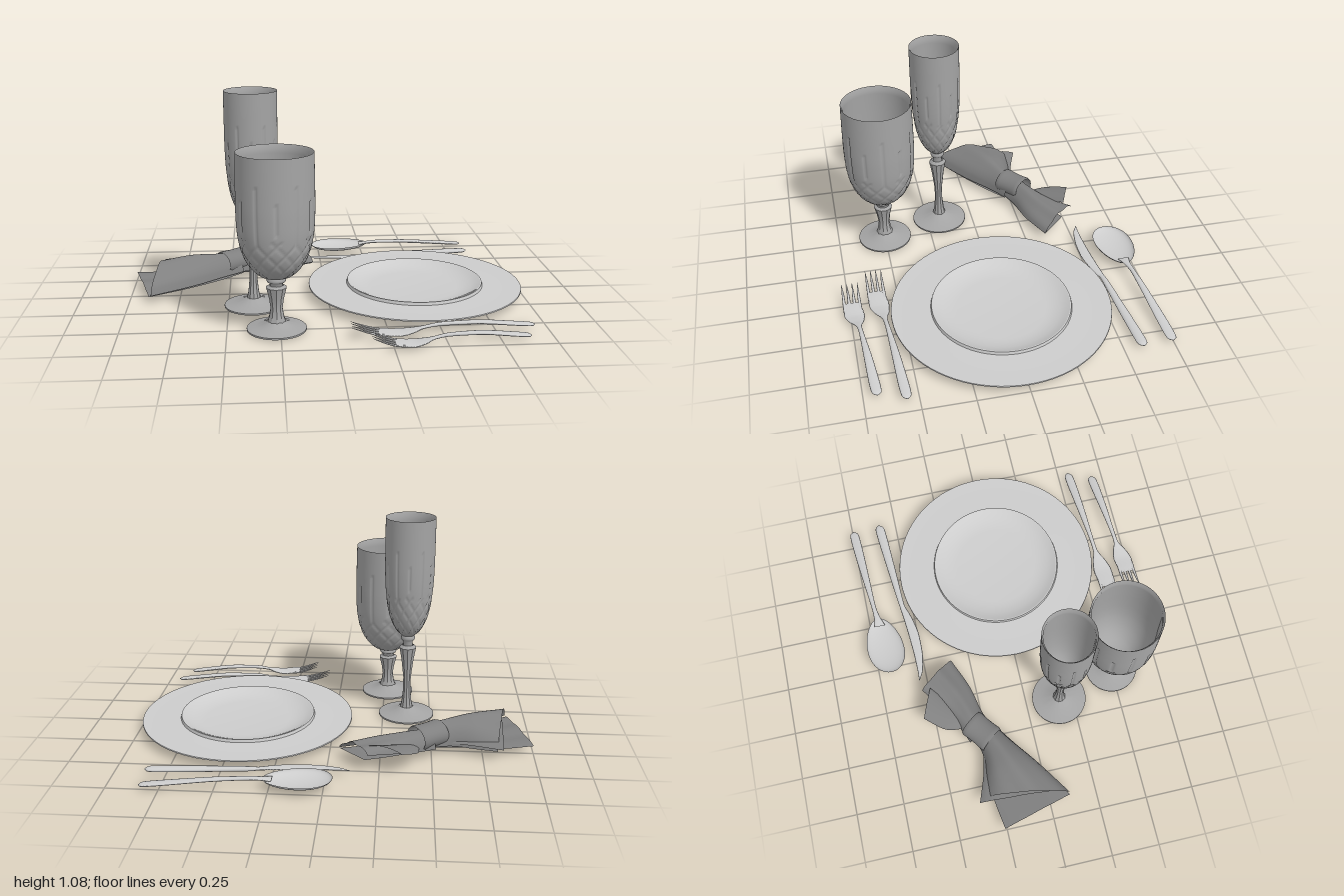
import * as THREE from 'three';
import { mergeVertices, toCreasedNormals } from 'three/addons/utils/BufferGeometryUtils.js';

const mat = (name, color, side = THREE.FrontSide) => {
  const m = new THREE.MeshStandardMaterial({ color, side });
  m.name = name;
  return m;
};
const china = mat('china and cutlery', 0xcccccc, THREE.DoubleSide);
const glass = mat('cut glass', 0xa4a4a4, THREE.DoubleSide);
const cloth = mat('napkin cloth', 0x808080, THREE.DoubleSide);

function add(parent, name, geometry, material) {
  const m = new THREE.Mesh(geometry, material);
  m.name = name;
  parent.add(m);
  return m;
}

function group(parent, name, x = 0, z = 0) {
  const g = new THREE.Group();
  g.name = name;
  g.position.set(x, 0, z);
  parent.add(g);
  return g;
}

// Smooth surface from a rule f(u, v) -> [x, y, z]
function surface(f, nu, nv) {
  const pos = [], idx = [];
  for (let i = 0; i <= nu; i++) for (let j = 0; j <= nv; j++) pos.push(...f(i / nu, j / nv));
  for (let i = 0; i < nu; i++) for (let j = 0; j < nv; j++) {
    const a = i * (nv + 1) + j, b = a + nv + 1;
    idx.push(a, b, a + 1, b, b + 1, a + 1);
  }
  let g = new THREE.BufferGeometry();
  g.setAttribute('position', new THREE.Float32BufferAttribute(pos, 3));
  g.setIndex(idx);
  g = mergeVertices(g, 1e-5);
  g.computeVertexNormals();
  return g;
}

const spline = pts => new THREE.CatmullRomCurve3(pts.map(p => new THREE.Vector3(...p)), false, 'centripetal');
const uniform = pts => new THREE.CatmullRomCurve3(pts.map(p => new THREE.Vector3(...p)), false, 'catmullrom', 0.4);

// Oval bar through stations [x, y, z, halfWidth, halfThickness]
function bar(stations, steps = 32, sides = 14) {
  const mid = uniform(stations.map(s => s.slice(0, 3)));
  const size = uniform(stations.map(s => [s[3], s[4], 0]));
  return surface((u, v) => {
    const c = mid.getPoint(u), s = size.getPoint(u), a = v * Math.PI * 2;
    return [c.x, c.y + Math.max(s.y, 0.0005) * Math.sin(a), c.z + Math.max(s.x, 0.0005) * Math.cos(a)];
  }, steps, sides);
}

const lathe = (pts, n) => new THREE.LatheGeometry(pts.map(p => new THREE.Vector2(...p)), n);

// Goblet: foot, faceted stem, knob and a bowl with cut diamonds and slits
function goblet(parent, name, x, z, o) {
  const g = group(parent, name, x, z);
  add(g, 'foot', toCreasedNormals(lathe([[0, 0.006], [o.foot, 0.006], [o.foot, 0.014],
    [o.foot * 0.7, 0.022], [o.foot * 0.4, 0.036], [o.stem[0][0] * 0.8, 0.052]], 48), 0.6), glass);
  add(g, 'stem', toCreasedNormals(lathe(o.stem, 10), 0.3), glass);
  add(g, 'knob', lathe(o.knob, 32), glass);

  const outer = spline(o.bowl.map(p => [p[0], p[1], 0]));
  const [y0, y1, y2] = o.cut;
  const bowl = surface((u, v) => {
    const p = outer.getPointAt(u), a = v * Math.PI * 2;
    const k = v * 12, q = (p.y - y0) / o.diamond;
    const even = Math.round(k) % 2;
    let d = 0;
    const top = y1 + (even ? 0.04 : 0) * (1 - Math.abs(Math.sin(Math.PI * k)));
    if (p.y > y0 && p.y < top) {
      const m = Math.min(Math.abs(Math.sin(Math.PI * (k + q))), Math.abs(Math.sin(Math.PI * (k - q))));
      d = Math.max(0, 1 - m / 0.45);
    } else if (p.y >= top && p.y < y2 - (even ? 0.07 : 0)) {
      d = Math.max(0, 1 - Math.abs(Math.sin(Math.PI * k)) / 0.3) * 1.2;
    }
    const r = p.x - d * 0.005;
    return [r * Math.cos(a), p.y, r * Math.sin(a)];
  }, 72, 144);
  add(g, 'bowl', bowl, glass);
  const inner = outer.getSpacedPoints(30).reverse().map((p, i) =>
    [Math.max(p.x - (i ? 0.009 : 0), 0), p.y + (i ? 0.009 * i / 30 : 0)]);
  inner.push([0, o.bowl[0][1] + 0.009]);
  add(g, 'bowlInside', lathe(inner, 48), glass);
}

// Fork pointing to -x, origin below the tine tips
function fork(parent, name, x, z, scale) {
  const g = group(parent, name, x, z);
  g.scale.set(scale, 1, 0.95);
  add(g, 'headAndHandle', bar([[0.125, 0.02, 0, 0.042, 0.003], [0.16, 0.017, 0, 0.048, 0.005],
    [0.23, 0.013, -0.005, 0.052, 0.006], [0.29, 0.02, -0.012, 0.036, 0.006], [0.34, 0.031, -0.018, 0.014, 0.007],
    [0.42, 0.042, -0.024, 0.012, 0.009], [0.6, 0.043, -0.036, 0.02, 0.009], [0.78, 0.026, -0.047, 0.026, 0.008],
    [0.85, 0.019, -0.052, 0.023, 0.007], [0.87, 0.017, -0.053, 0.002, 0.002]], 48), china);
  for (let i = 0; i < 4; i++) {
    const s = (i - 1.5) * 0.027;
    add(g, 'tine', bar([[0, 0.058, s * 1.05, 0.001, 0.001], [0.06, 0.037, s, 0.006, 0.004],
      [0.12, 0.021, s, 0.008, 0.004], [0.18, 0.016, s, 0.009, 0.004]], 14, 8), china);
  }
}

// Cloth arching between two edge lines, with height h along the way
function drape(a, b, h, ripple = 0) {
  const ca = spline(a), cb = spline(b), ch = uniform(h.map(y => [y, 0, 0]));
  return surface((u, v) => {
    const p = ca.getPoint(u).lerp(cb.getPoint(u), v), s = Math.max(Math.sin(Math.PI * v), 0);
    const y = p.y + ch.getPoint(u).x * Math.pow(s, 0.6) + ripple * u * s * Math.sin(v * 14);
    return [p.x, y, p.z];
  }, 24, 28);
}

export function createModel() {
  const model = new THREE.Group();
  model.name = 'placeSetting';

  // Plate with a broad rim and a raised ring round the well
  const plate = add(model, 'plate', toCreasedNormals(lathe([[0, 0], [0.28, 0], [0.38, 0.007], [0.46, 0.02],
    [0.546, 0.043], [0.545, 0.049], [0.45, 0.047], [0.35, 0.05], [0.346, 0.065], [0.34, 0.065], [0.32, 0.054],
    [0.29, 0.041], [0.25, 0.032], [0.22, 0.029], [0, 0.027]], 80), 0.5), china);
  plate.position.set(0.453, 0, 0.013);

  goblet(model, 'flute', -0.375, 0.18, {
    foot: 0.145,
    stem: [[0.036, 0.04], [0.027, 0.08], [0.02, 0.15], [0.021, 0.22], [0.033, 0.32], [0.045, 0.385], [0.03, 0.4]],
    knob: [[0.024, 0.39], [0.024, 0.42], [0.034, 0.43], [0.037, 0.44], [0.033, 0.45], [0.028, 0.46]],
    bowl: [[0.03, 0.452], [0.062, 0.482], [0.092, 0.54], [0.11, 0.61], [0.121, 0.7], [0.126, 0.8], [0.127, 0.95], [0.127, 1.08]],
    cut: [0.47, 0.68, 0.92], diamond: 0.095,
  });
  goblet(model, 'wineGlass', -0.268, 0.5, {
    foot: 0.14,
    stem: [[0.046, 0.04], [0.036, 0.07], [0.029, 0.11], [0.036, 0.16], [0.049, 0.212], [0.034, 0.222]],
    knob: [[0.03, 0.215], [0.03, 0.232], [0.043, 0.24], [0.046, 0.25], [0.04, 0.26], [0.035, 0.267]],
    bowl: [[0.035, 0.258], [0.08, 0.275], [0.128, 0.325], [0.16, 0.395], [0.175, 0.47], [0.181, 0.57], [0.181, 0.68], [0.178, 0.85]],
    cut: [0.27, 0.46, 0.72], diamond: 0.09,
  });

  fork(model, 'dinnerFork', 0.07, 0.606, 1);
  fork(model, 'saladFork', 0.15, 0.735, 0.85);

  // Spoon: open egg-shaped bowl and a tapering handle
  const spoon = group(model, 'spoon');
  add(spoon, 'spoonBowl', surface((u, v) => {
    const a = v * Math.PI * 2, r = Math.sin(u * Math.PI / 2), c = Math.cos(a) * r;
    return [0.118 + 0.16 * c, 0.052 - 0.034 * Math.cos(u * Math.PI / 2),
      -0.687 - 0.01 * c + 0.099 * Math.sin(a) * r * (1 - 0.16 * c)];
  }, 16, 40), china);
  add(spoon, 'spoonHandle', bar([[0.235, 0.046, -0.695, 0.03, 0.003], [0.28, 0.05, -0.7, 0.018, 0.007],
    [0.35, 0.053, -0.708, 0.012, 0.009], [0.5, 0.048, -0.719, 0.018, 0.009], [0.7, 0.032, -0.733, 0.025, 0.008],
    [0.82, 0.022, -0.741, 0.024, 0.007], [0.843, 0.02, -0.743, 0.002, 0.002]], 40), china);

  // Knife: thin curved blade and rounded handle
  const knife = group(model, 'knife');
  add(knife, 'blade', bar([[-0.115, 0.022, -0.541, 0.001, 0.001], [-0.06, 0.022, -0.526, 0.014, 0.003],
    [0.04, 0.022, -0.518, 0.024, 0.004], [0.16, 0.022, -0.522, 0.028, 0.004], [0.26, 0.022, -0.537, 0.022, 0.005],
    [0.33, 0.022, -0.553, 0.014, 0.006]], 30, 12), china);
  add(knife, 'knifeHandle', bar([[0.31, 0.022, -0.55, 0.013, 0.006], [0.37, 0.023, -0.557, 0.015, 0.011],
    [0.55, 0.023, -0.57, 0.021, 0.012], [0.75, 0.023, -0.585, 0.026, 0.012], [0.83, 0.023, -0.591, 0.024, 0.01],
    [0.852, 0.023, -0.593, 0.002, 0.002]], 32), china);

  // Napkin gathered in a band, with flared folds on both sides
  const napkin = group(model, 'napkin');
  const ring = add(napkin, 'napkinBand', surface((u, v) => {
    const a = v * Math.PI * 2, f = 1 - 0.06 * Math.sin(u * Math.PI) + (u > 0 && u < 1 ? 0 : -0.08);
    return [(u - 0.5) * 0.15, 0.093 + 0.064 * f * Math.sin(a), 0.076 * f * Math.cos(a)];
  }, 12, 32), cloth);
  ring.position.set(-0.482, 0, -0.272);
  ring.rotation.y = 0.66;

  add(napkin, 'leftFold', drape(
    [[-0.5, 0.05, -0.32], [-0.6, 0.045, -0.29], [-0.72, 0.04, -0.305], [-0.82, 0.04, -0.325]],
    [[-0.43, 0.05, -0.21], [-0.53, 0.045, -0.145], [-0.68, 0.04, -0.03], [-0.89, 0.04, 0.112]],
    [0.085, 0.105, 0.12, 0.11], 0.006), cloth);
  add(napkin, 'leftLowerLeaf', drape(
    [[-0.5, 0.045, -0.31], [-0.65, 0.035, -0.28], [-0.82, 0.035, -0.285], [-1.0, 0.045, -0.26]],
    [[-0.43, 0.045, -0.21], [-0.53, 0.035, -0.14], [-0.7, 0.032, -0.02], [-0.9, 0.035, 0.11]],
    [0, 0.004, 0.005, 0.01], 0.004), cloth);
  add(napkin, 'leftInnerLeaf', drape(
    [[-0.56, 0.06, -0.28], [-0.7, 0.06, -0.31], [-0.845, 0.065, -0.36]],
    [[-0.5, 0.06, -0.19], [-0.66, 0.05, -0.08], [-0.87, 0.045, 0.09]],
    [0.02, 0.03, 0.03], 0.006), cloth);

  add(napkin, 'rightFold', drape(
    [[-0.52, 0.05, -0.34], [-0.42, 0.05, -0.385], [-0.31, 0.07, -0.45], [-0.195, 0.1, -0.535]],
    [[-0.45, 0.05, -0.21], [-0.37, 0.045, -0.245], [-0.22, 0.045, -0.28], [-0.05, 0.05, -0.35]],
    [0.075, 0.08, 0.065, 0.045], 0.006), cloth);
  add(napkin, 'rightLowerLeaf', drape(
    [[-0.5, 0.045, -0.33], [-0.4, 0.04, -0.37], [-0.29, 0.04, -0.42], [-0.18, 0.05, -0.48]],
    [[-0.45, 0.045, -0.21], [-0.37, 0.04, -0.245], [-0.22, 0.04, -0.285], [-0.055, 0.045, -0.35]],
    [0, 0, 0, 0]), cloth);
  add(napkin, 'rightBackFlap', drape(
    [[-0.44, 0.06, -0.36], [-0.43, 0.08, -0.45], [-0.355, 0.12, -0.555]],
    [[-0.38, 0.06, -0.32], [-0.3, 0.09, -0.4], [-0.2, 0.13, -0.49]],
    [0.02, 0.02, 0.015]), cloth);

  return model;
}
